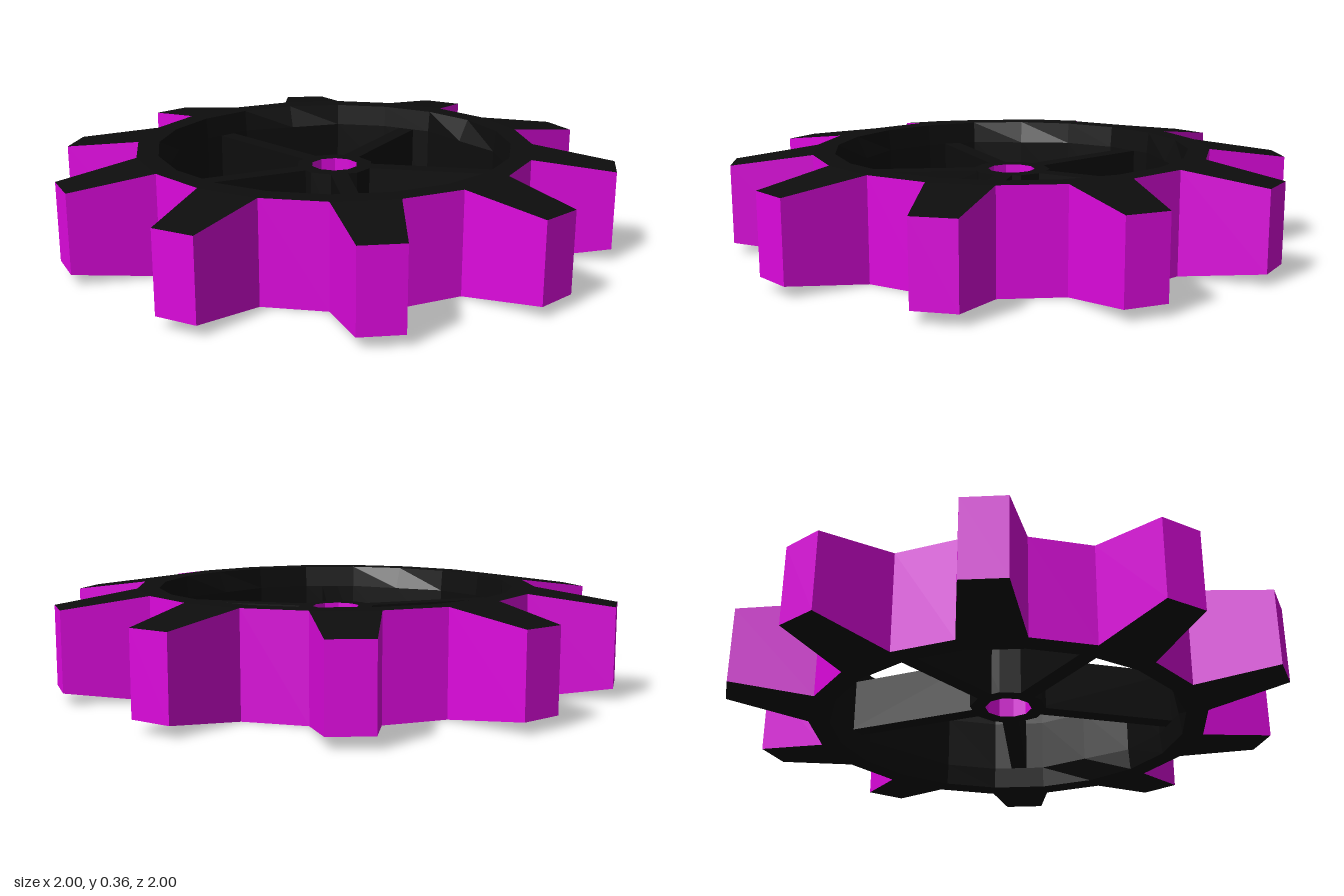
import * as THREE from 'three';

const HEIGHT = 0.36, TEETH = 10, SPOKES = 5;
const WEB_LOW = 0.08, WEB_HIGH = 0.28;
const ROOT = 0.717, TIP = 1.003, TIP_DROP = 0.04, RIM = 0.64;
const STEP = 18;

const black = new THREE.MeshStandardMaterial({ color: 0x0d0d0d, flatShading: true });
const magenta = new THREE.MeshStandardMaterial({ color: 0xdd08dd, flatShading: true });

// Point at an angle in degrees, a radius and a height
function polar(deg, r, y) {
  const a = THREE.MathUtils.degToRad(deg);
  return new THREE.Vector3(r * Math.cos(a), y, r * Math.sin(a));
}

// Mesh of flat quads, each given by four corners in front-facing order
function quadMesh(name, quads, material) {
  const points = quads.flatMap(([a, b, c, d]) => [a, b, c, a, c, d]);
  const geometry = new THREE.BufferGeometry().setFromPoints(points);
  geometry.computeVertexNormals();
  const mesh = new THREE.Mesh(geometry, material);
  mesh.name = name;
  return mesh;
}

// Outward wall between two [angle, radius, low, high] stations
function wall([a1, r1, l1, h1], [a2, r2, l2, h2]) {
  return [polar(a1, r1, l1), polar(a1, r1, h1), polar(a2, r2, h2), polar(a2, r2, l2)];
}

// Flat-sided ring with open centre: outer wall, inner wall and both faces
function buildHub() {
  const hub = new THREE.Group();
  hub.name = 'hub';
  const outer = [], bore = [];
  for (let i = 0; i < 10; i++) {
    const a = i * 36 + 18, b = a + 36, R = 0.14, r = 0.085;
    outer.push(wall([a, R, WEB_LOW, WEB_HIGH], [b, R, WEB_LOW, WEB_HIGH]));
    bore.push(wall([a, r, WEB_LOW, WEB_HIGH], [b, r, WEB_LOW, WEB_HIGH]).reverse());
    const face = y => [polar(a, r, y), polar(b, r, y), polar(b, R, y), polar(a, R, y)];
    outer.push(face(WEB_HIGH), face(WEB_LOW).reverse());
  }
  hub.add(quadMesh('hubBody', outer, black), quadMesh('hubBore', bore, magenta));
  return hub;
}

export function createModel() {
  const group = new THREE.Group();
  group.name = 'gearWheel';

  // Toothed outer wall, and the faces of the teeth and rim
  const outside = [], faces = [];
  const addFace = (a, b, c, d) => faces.push([a, b, c, d]);
  for (let i = 0; i < TEETH; i++) {
    const a = i * 36;
    const stations = [
      [a, ROOT, 0, HEIGHT],
      [a + 4.7, TIP, TIP_DROP, HEIGHT - TIP_DROP],
      [a + 13.3, TIP, TIP_DROP, HEIGHT - TIP_DROP],
      [a + STEP, ROOT, 0, HEIGHT],
      [a + 2 * STEP, ROOT, 0, HEIGHT],
    ];
    for (let j = 0; j < 4; j++) outside.push(wall(stations[j], stations[j + 1]));
    const low = stations.map(([d, r, l]) => polar(d, r, l));
    const high = stations.map(([d, r, , h]) => polar(d, r, h));
    addFace(high[0], high[3], high[2], high[1]);
    addFace(low[1], low[2], low[3], low[0]);
  }
  for (let i = 0; i < 20; i++) {
    const a = i * STEP, b = a + STEP;
    const ring = y => [polar(a, RIM, y), polar(b, RIM, y), polar(b, ROOT, y), polar(a, ROOT, y)];
    addFace(...ring(HEIGHT));
    addFace(...ring(0).reverse());
  }
  group.add(quadMesh('toothWall', outside, magenta), quadMesh('toothAndRimFaces', faces, black));

  // Inner rim wall, drawn in to straight chords between the spokes at mid depth
  const inside = [];
  const chord = i => (i % 4 === 0 ? 0.6 : 0.632);
  for (let i = 0; i < 20; i++) {
    const a = i * STEP, b = a + STEP;
    const levels = [
      [0, RIM, RIM],
      [WEB_LOW, chord(i), chord(i + 1)],
      [WEB_HIGH, chord(i), chord(i + 1)],
      [HEIGHT, RIM, RIM],
    ];
    for (let j = 0; j < 3; j++) {
      const [y1, p1, q1] = levels[j], [y2, p2, q2] = levels[j + 1];
      inside.push([polar(b, q1, y1), polar(b, q2, y2), polar(a, p2, y2), polar(a, p1, y1)]);
    }
  }
  group.add(quadMesh('innerRimWall', inside, black));

  // Spokes, recessed from both faces
  const spokeGeometry = new THREE.BoxGeometry(0.53, WEB_HIGH - WEB_LOW, 0.062);
  spokeGeometry.translate(0.375, HEIGHT / 2, 0);
  for (let i = 0; i < SPOKES; i++) {
    const spoke = new THREE.Mesh(spokeGeometry, black);
    spoke.name = 'spoke';
    spoke.rotation.y = -THREE.MathUtils.degToRad(45 + i * 72);
    group.add(spoke);
  }

  group.add(buildHub());
  return group;
}
